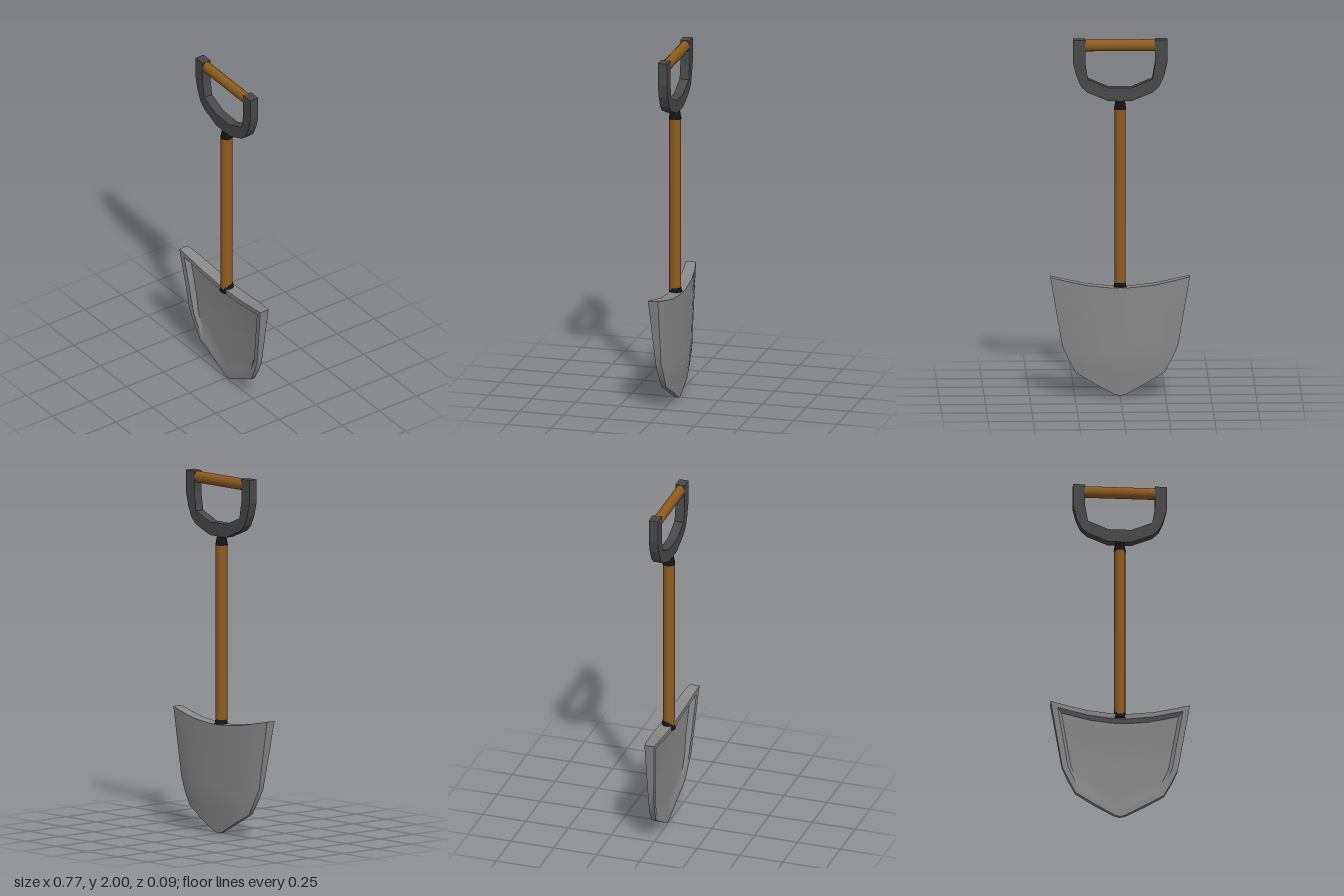
import * as THREE from 'three';
import { toCreasedNormals } from 'three/addons/utils/BufferGeometryUtils.js';

const material = (name, color) => {
  const m = new THREE.MeshStandardMaterial({ color });
  m.name = name;
  return m;
};

// Right half of the blade outline, tip to top centre
const HALF = [
  [0, 0], [0.03, 0.008], [0.14, 0.07], [0.245, 0.13], [0.285, 0.205], [0.32, 0.28],
  [0.342, 0.41], [0.364, 0.54], [0.385, 0.665], [0.29, 0.645], [0.19, 0.625], [0.06, 0.612], [0, 0.61],
];
const OUTLINE = [...HALF, ...HALF.slice(1, -1).reverse().map(([x, y]) => [-x, y])];
const CENTRE_Y = 0.32;

// Blade surfaces: a dished back, a raised front rim and a shallow recess inside it
const backZ = (x, y) => {
  const across = Math.min(1, Math.abs(x) / (0.27 + 0.175 * y));
  const base = -0.025 - 0.021 * Math.min(1, y / 0.2);
  return base + 0.036 * across ** 2.8 * Math.min(1, y / 0.13);
};
const rimZ = (x, y) => -0.005 + 0.049 * y + 0.019 * (x / 0.385) ** 2;
const floorZ = (x, y) => rimZ(x, y) - 0.026 * Math.min(1, y / 0.4);

// Concentric copies of the outline, joined into strips
function rings(list, flip) {
  const pos = [], index = [], n = OUTLINE.length;
  for (const [s, zAt] of list) {
    for (const [px, py] of OUTLINE) {
      const x = px * s, y = CENTRE_Y + (py - CENTRE_Y) * s;
      pos.push(x, y, zAt(x, y));
    }
  }
  for (let r = 0; r < list.length - 1; r++) {
    for (let i = 0; i < n; i++) {
      const a = r * n + i, b = r * n + (i + 1) % n, c = a + n, d = b + n;
      if (flip) index.push(a, c, b, b, c, d);
      else index.push(a, b, c, b, d, c);
    }
  }
  const g = new THREE.BufferGeometry();
  g.setAttribute('position', new THREE.Float32BufferAttribute(pos, 3));
  g.setIndex(index);
  return toCreasedNormals(g, 0.6);
}

export function createModel() {
  const model = new THREE.Group();
  const steel = material('steel grey', 0x888888);
  const wood = material('brown wood', 0x8f5c1e);
  const dark = material('dark grey', 0x484848);
  const black = material('black', 0x141414);

  const add = (name, geometry, mat, parent = model) => {
    const mesh = new THREE.Mesh(geometry, mat);
    mesh.name = name;
    parent.add(mesh);
    return mesh;
  };

  // Blade: front with recess, outer wall and back
  const blade = new THREE.Group();
  blade.name = 'blade';
  model.add(blade);
  add('bladeFront', rings([
    [1, rimZ], [0.9, rimZ], [0.84, floorZ], [0.6, floorZ], [0.3, floorZ], [0.001, floorZ],
  ], false), steel, blade);
  add('bladeEdge', rings([[1, backZ], [1, rimZ]], false), steel, blade);
  add('bladeBack', rings([
    [1, backZ], [0.85, backZ], [0.65, backZ], [0.4, backZ], [0.2, backZ], [0.001, backZ],
  ], true), steel, blade);

  // Shaft with a collar at each end
  const shaft = add('shaft', new THREE.CylinderGeometry(0.034, 0.034, 1.02, 12), wood);
  shaft.position.y = 1.1;
  shaft.scale.x = 0.9;
  const socket = add('bladeSocket', new THREE.CylinderGeometry(0.032, 0.042, 0.05, 10), black);
  socket.position.set(0, 0.61, -0.003);
  const collar = add('handleCollar', new THREE.CylinderGeometry(0.026, 0.036, 0.055, 12), black);
  collar.position.y = 1.635;
  collar.scale.x = 0.95;

  // U-shaped handle frame
  const outer = [[0.26, 2], [0.26, 1.87], [0.243, 1.8], [0.217, 1.74], [0.18, 1.705], [0.065, 1.658]];
  const inner = [[0.065, 1.732], [0.178, 1.78], [0.193, 1.87], [0.193, 2]];
  const mirror = (pts) => pts.map(([x, y]) => [-x, y]).reverse();
  const frame = new THREE.Shape(
    [...mirror(outer), ...outer].length
      ? [...outer, ...mirror(outer), ...mirror(inner), ...inner].map(([x, y]) => new THREE.Vector2(x, y))
      : [],
  );
  const frameMesh = add('handleFrame',
    new THREE.ExtrudeGeometry(frame, { depth: 0.053, bevelEnabled: false }), dark);
  frameMesh.position.z = -0.028;

  // Wooden grip bar
  const bar = new THREE.CylinderGeometry(0.033, 0.033, 0.4, 16);
  bar.rotateZ(Math.PI / 2);
  const grip = add('grip', bar, wood);
  grip.position.set(0, 1.966, -0.001);
  grip.scale.z = 0.8;

  return model;
}
